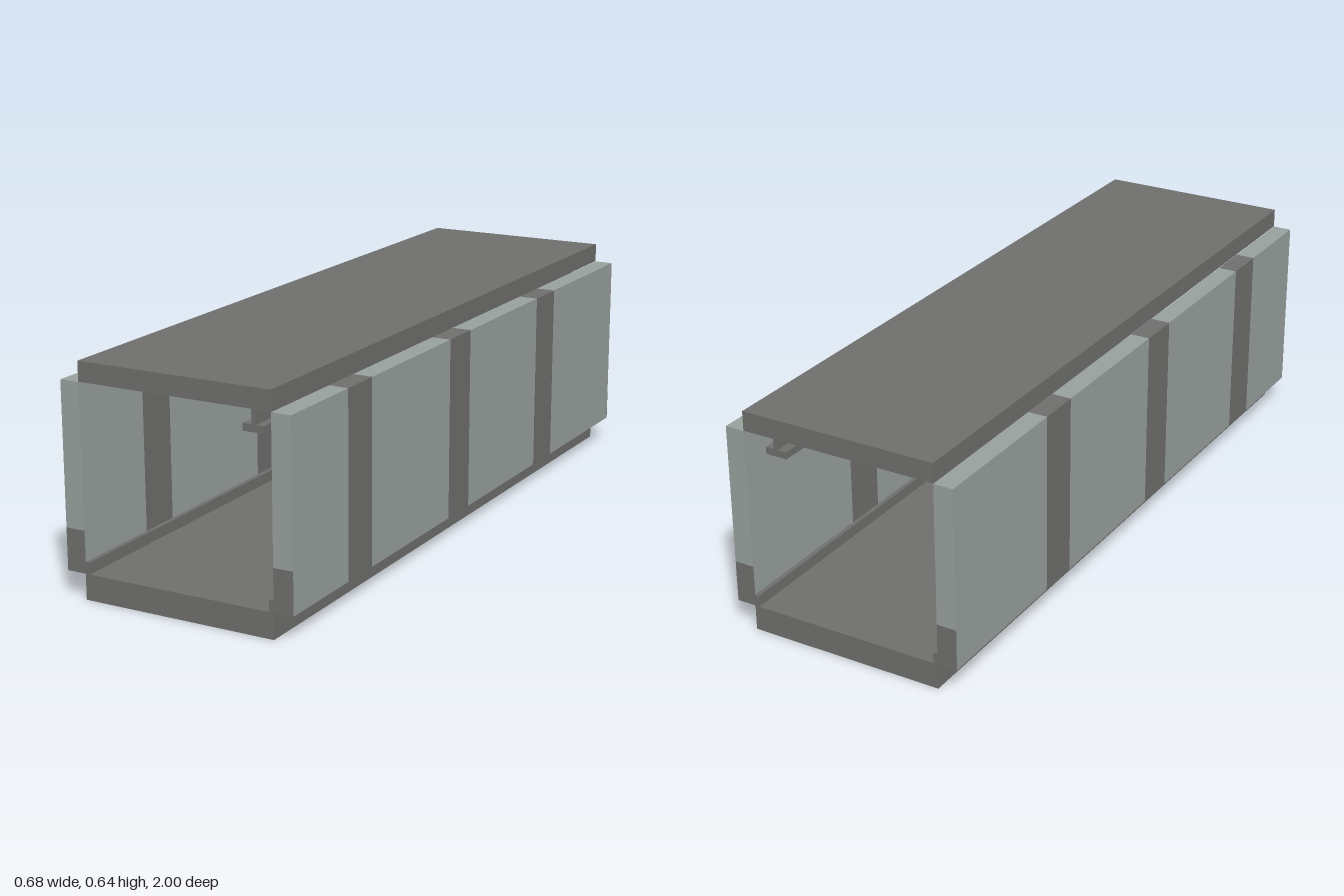
import * as THREE from 'three';

export function createModel() {
  const model = new THREE.Group();
  model.name = 'corridor';

  const darkGrey = new THREE.MeshStandardMaterial({ color: 0x6f6f6d });
  darkGrey.name = 'dark grey';
  const paleGrey = new THREE.MeshStandardMaterial({ color: 0x99a19e });
  paleGrey.name = 'pale grey';

  // Box given by its limits on each axis
  function block(parent, name, material, [x0, x1], [y0, y1], [z0, z1]) {
    const mesh = new THREE.Mesh(new THREE.BoxGeometry(x1 - x0, y1 - y0, z1 - z0), material);
    mesh.position.set((x0 + x1) / 2, (y0 + y1) / 2, (z0 + z1) / 2);
    mesh.name = name;
    parent.add(mesh);
  }

  const full = [-1, 1];
  block(model, 'floor', darkGrey, [-0.285, 0.285], [0, 0.072], full);
  block(model, 'roof', darkGrey, [-0.285, 0.285], [0.588, 0.643], full);

  // Walls: pale panels alternating with dark bands, listed by their z limits
  const end = 0.998;
  const cuts = [-end, -0.545, -0.42, 0.027, 0.152, 0.597, 0.722, end];
  const wallY = [0.072, 0.587];
  for (const side of [-1, 1]) {
    const wall = new THREE.Group();
    wall.name = side > 0 ? 'leftWall' : 'rightWall';
    const span = (a, b) => (side > 0 ? [a, b] : [-b, -a]);
    const wallX = span(0.285, 0.341);

    for (let i = 0; i < cuts.length - 1; i++) {
      const band = i % 2 === 1;
      block(wall, band ? 'wallBand' : 'wallPanel', band ? darkGrey : paleGrey,
        wallX, wallY, [cuts[i], cuts[i + 1]]);
    }

    // End faces: dark at the foot, pale above
    for (const z of [[-1, -end], [end, 1]]) {
      block(wall, 'wallEndFoot', darkGrey, wallX, [wallY[0], 0.19], z);
      block(wall, 'wallEndUpper', paleGrey, wallX, [0.19, wallY[1]], z);
    }

    // Skirting along the inside of the wall
    block(wall, 'skirting', darkGrey, span(0.272, 0.286), [0.071, 0.104], full);
    model.add(wall);
  }

  // Rail hanging from the ceiling
  const rail = new THREE.Group();
  rail.name = 'ceilingRail';
  block(rail, 'railStem', darkGrey, [0.207, 0.22], [0.536, 0.589], [-0.965, 0.965]);
  block(rail, 'railPlate', darkGrey, [0.181, 0.244], [0.517, 0.537], [-0.965, 0.965]);
  model.add(rail);

  return model;
}
